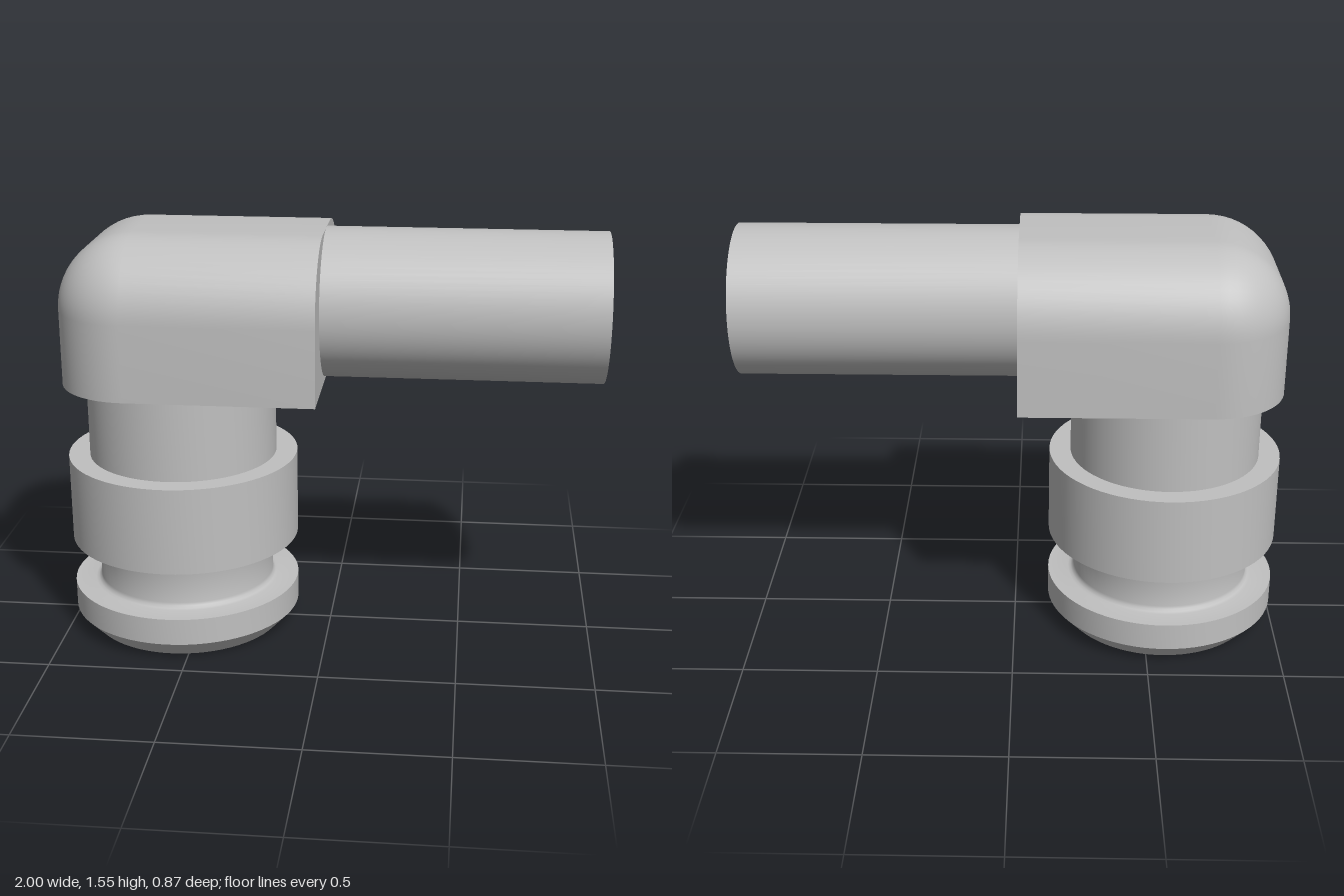
import * as THREE from 'three';
import { toCreasedNormals } from 'three/addons/utils/BufferGeometryUtils.js';

const AXIS_X = -0.565;   // upright bore axis
const AXIS_Y = 1.28;     // side tube axis
const FILLET = 0.275;
const FLAT = 0.138;      // half width left flat between the fillets
const FACE_X = -0.015;   // end face of the elbow
const BASE_Y = 1.0;

const v2 = (pairs) => pairs.map(([x, y]) => new THREE.Vector2(x, y));
const turned = (pairs) => toCreasedNormals(new THREE.LatheGeometry(v2(pairs), 72), 0.6);

function withHole(points, x, y, radius) {
  const shape = new THREE.Shape(points);
  shape.holes.push(new THREE.Path().absarc(x, y, radius, 0, Math.PI * 2, true));
  return new THREE.ShapeGeometry(shape, 36);
}

// Cross-section (z, y) of the elbow: straight sides with two rounded top corners
function section(radius, n = 14) {
  const half = [];
  for (let k = 0; k <= n; k++) {
    const t = (k / n) * Math.PI / 2;
    half.push([FLAT + radius * Math.cos(t), AXIS_Y + radius * Math.sin(t)]);
  }
  const right = [[FLAT + radius, BASE_Y], ...half];
  return [...right, ...right.slice().reverse().map(([z, y]) => [-z, y])];
}

// Sections lofted along x, shrinking round the closed end
function elbowShell(rows) {
  const pos = [], index = [];
  const rings = rows.map(([, r]) => section(r));
  const m = rings[0].length;
  rows.forEach(([x], i) => rings[i].forEach(([z, y]) => pos.push(x, y, z)));
  for (let i = 0; i < rows.length - 1; i++) {
    for (let j = 0; j < m - 1; j++) {
      const a = i * m + j, b = a + m;
      index.push(a, b, a + 1, b, b + 1, a + 1);
    }
  }
  const g = new THREE.BufferGeometry();
  g.setAttribute('position', new THREE.Float32BufferAttribute(pos, 3));
  g.setIndex(index);
  return toCreasedNormals(g, 0.6);
}

export function createModel() {
  const model = new THREE.Group();
  model.name = 'elbowConnector';
  const grey = new THREE.MeshStandardMaterial({ color: 0xc0c0c0 });
  grey.name = 'light grey';
  const add = (name, geometry, parent = model) => {
    const mesh = new THREE.Mesh(geometry, grey);
    mesh.name = name;
    parent.add(mesh);
    return mesh;
  };

  // Elbow block
  const elbow = new THREE.Group();
  elbow.name = 'elbow';
  model.add(elbow);
  const rows = [];
  for (let i = 0; i <= 14; i++) {
    const a = (1 - i / 14) * Math.PI / 2;
    rows.push([-0.7 - FILLET * Math.sin(a), FILLET * Math.cos(a)]);
  }
  rows.push([FACE_X, FILLET]);
  add('elbowShell', elbowShell(rows), elbow);

  const back = new THREE.PlaneGeometry(FLAT * 2, AXIS_Y - BASE_Y).rotateY(-Math.PI / 2);
  add('elbowBackFace', back.translate(-0.7 - FILLET, (AXIS_Y + BASE_Y) / 2, 0), elbow);

  const side = rows.map(([x, r]) => [x, FLAT + r]);
  const plan = v2([...side, ...side.slice().reverse().map(([x, z]) => [x, -z])]);
  const underside = withHole(plan, AXIS_X, 0, 0.25).rotateX(Math.PI / 2);
  add('elbowUnderside', underside.translate(0, BASE_Y, 0), elbow);

  const endFace = withHole(v2(section(FILLET)), 0, AXIS_Y, 0.1).rotateY(Math.PI / 2);
  add('elbowEndFace', endFace.translate(FACE_X, 0, 0), elbow);

  // Hollow plug with chamfered foot, seal groove and collar
  const plug = add('plug', turned([
    [0, 1.45], [0.245, 1.45], [0.245, 0.03], [0.258, 0],
    [0.37, 0], [0.435, 0.07], [0.435, 0.172],
    [0.357, 0.172], [0.346, 0.175], [0.338, 0.183], [0.335, 0.194],
    [0.335, 0.333], [0.338, 0.344], [0.346, 0.352], [0.357, 0.355],
    [0.435, 0.355], [0.435, 0.685], [0.355, 0.685], [0.355, BASE_Y],
  ]));
  plug.position.x = AXIS_X;

  // Side tube with tapered socket, inner nozzle and through bore
  const tube = add('sideTube', turned([
    [0.275, FACE_X], [0.275, 1], [0.24, 1], [0.21, 0.5],
    [0.135, 0.5], [0.108, 0.99], [0.085, 0.99], [0.085, -0.32],
  ]));
  tube.rotation.z = -Math.PI / 2;
  tube.position.y = AXIS_Y;

  return model;
}
